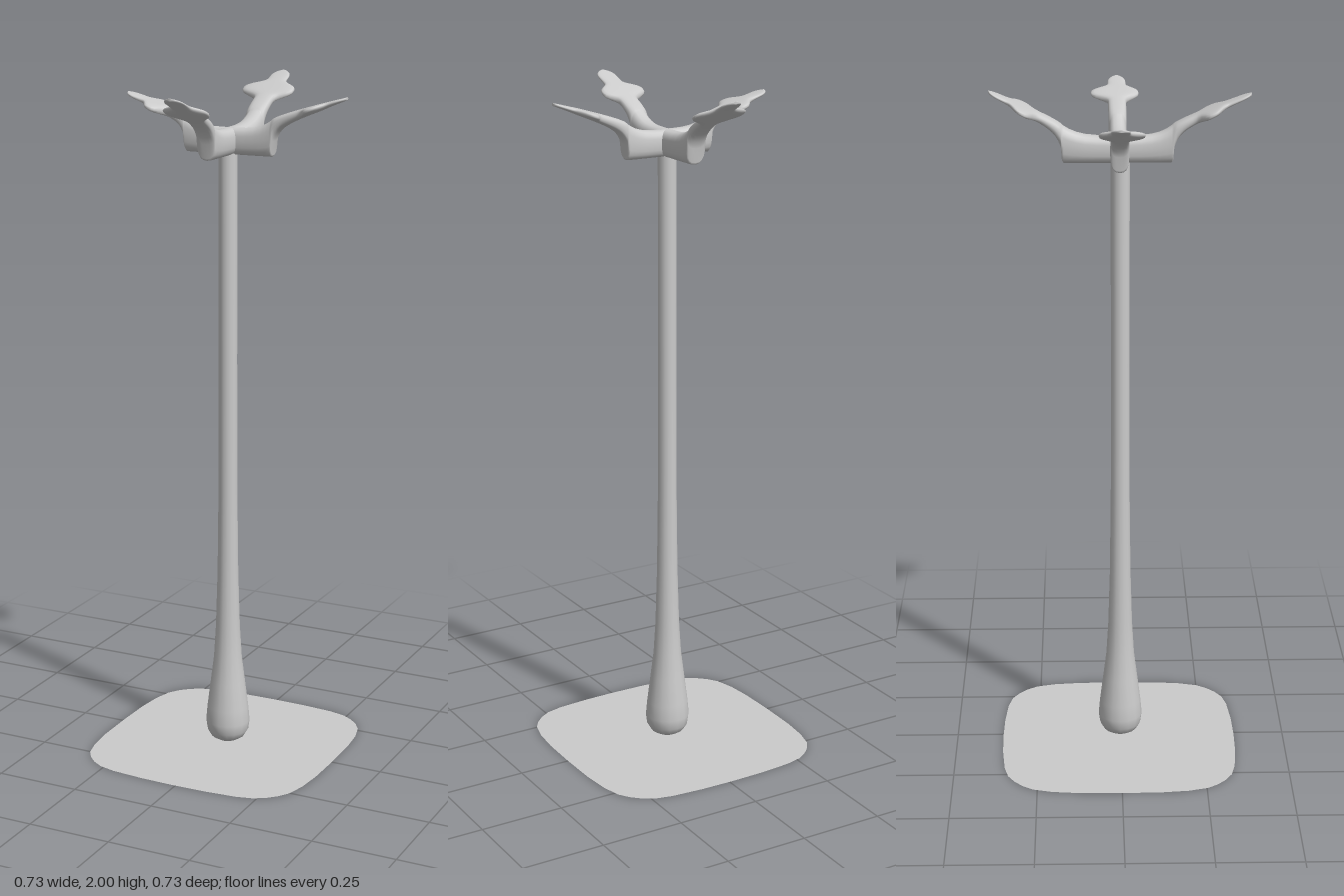
import * as THREE from 'three';

const grey = new THREE.MeshStandardMaterial({ color: 0xcccccc });
const greyThin = new THREE.MeshStandardMaterial({ color: 0xcccccc, side: THREE.DoubleSide });

// Bracket arm lofted along +z: a deep foot near the pole, then a thin rising hook with two ears
function armGeometry({ foot, tip, tipY, width, ear, ears }) {
  const sides = 20, wingRows = 40;
  const rows = [];
  for (const k of [0, 0.2, 0.4, 0.6, 0.75, 0.88, 0.97, 1]) {
    rows.push({ u: foot * k, top: 1.873 + 0.032 * Math.pow(k, 4), bottom: k === 1 ? 1.803 : 1.797, f: 0 });
  }
  for (let i = 0; i <= wingRows; i++) {
    const f = 0.015 + 0.985 * Math.sin((i / wingRows) * Math.PI / 2);
    const top = 1.905 + (tipY - 1.905) * Math.pow(f, 0.85);
    const thickness = 0.008 + 0.03 * (1 - f) + 0.035 * Math.exp(-f / 0.06);
    rows.push({ u: foot + (tip - foot) * f, top, bottom: top - thickness, f });
  }
  const positions = [], index = [];
  rows.forEach(({ u, top, bottom, f }, r) => {
    const round = f > 0.85 ? Math.sqrt(Math.max(0, 1 - Math.pow((f - 0.85) / 0.15, 2))) : 1;
    const bump = Math.exp(-Math.pow(Math.abs(u - ear) / 0.028, 3));
    for (let j = 0; j < sides; j++) {
      const a = (j / sides) * Math.PI * 2, c = Math.cos(a), s = Math.sin(a);
      const half = width * round + (ears[c > 0 ? 1 : 0] - width) * bump;
      const x = Math.sign(c) * Math.pow(Math.abs(c), 0.75) * half;
      const y = (top + bottom) / 2 + Math.sign(s) * Math.pow(Math.abs(s), 0.75) * (top - bottom) / 2;
      positions.push(x, y, u);
      if (r < rows.length - 1) {
        const p = r * sides + j, q = r * sides + (j + 1) % sides;
        index.push(p, q, p + sides, q, q + sides, p + sides);
      }
    }
  });
  const geometry = new THREE.BufferGeometry();
  geometry.setAttribute('position', new THREE.Float32BufferAttribute(positions, 3));
  geometry.setIndex(index);
  geometry.computeVertexNormals();
  return geometry;
}

export function createModel() {
  const group = new THREE.Group();
  const add = (name, geometry, material = grey) => {
    const mesh = new THREE.Mesh(geometry, material);
    mesh.name = name;
    group.add(mesh);
    return mesh;
  };

  // Thin floor plate: one quarter outline mirrored into a rounded square
  const quarter = [[0.355, 0], [0.353, 0.12], [0.345, 0.2], [0.33, 0.257], [0.31, 0.287], [0.3, 0.297],
    [0.283, 0.313], [0.25, 0.333], [0.2, 0.345], [0.1, 0.353], [0, 0.355]];
  const back = [...quarter].reverse();
  const outline = [
    ...quarter,
    ...back.slice(1).map(([x, y]) => [-x, y]),
    ...quarter.slice(1).map(([x, y]) => [-x, -y]),
    ...back.slice(1, -1).map(([x, y]) => [x, -y]),
  ].map(([x, y]) => new THREE.Vector2(x, y));
  const plate = add('basePlate', new THREE.ShapeGeometry(new THREE.Shape(outline)).rotateX(-Math.PI / 2), greyThin);
  plate.position.set(-0.01, 0, -0.005);

  // Pole swelling into a drop-shaped foot
  const profile = [[0, 0.012], [0.03, 0.014], [0.05, 0.026], [0.062, 0.046], [0.066, 0.075], [0.062, 0.12],
    [0.052, 0.2], [0.042, 0.28], [0.036, 0.38], [0.031, 0.55], [0.028, 0.8], [0.027, 1.2], [0.027, 1.82]];
  add('pole', new THREE.LatheGeometry(profile.map(([r, y]) => new THREE.Vector2(r, y)), 16));

  // Four hook arms crossing at the top of the pole
  const arms = [
    { name: 'frontArm', turn: 0, x: 0.005, z: 0, foot: 0.148, tip: 0.365, tipY: 1.992, width: 0.029, ear: 0.255, ears: [0.075, 0.061] },
    { name: 'leftArm', turn: 1, x: 0, z: -0.005, foot: 0.14, tip: 0.362, tipY: 1.975, width: 0.026, ear: 0.27, ears: [0.063, 0.076] },
    { name: 'backArm', turn: 2, x: 0.005, z: 0, foot: 0.163, tip: 0.365, tipY: 2.0, width: 0.03, ear: 0.272, ears: [0.075, 0.088] },
    { name: 'rightArm', turn: 3, x: 0, z: -0.003, foot: 0.13, tip: 0.32, tipY: 1.958, width: 0.026, ear: 0.22, ears: [0.059, 0.068] },
  ];
  for (const arm of arms) {
    const mesh = add(arm.name, armGeometry(arm));
    mesh.rotation.y = arm.turn * Math.PI / 2;
    mesh.position.set(arm.x, 0, arm.z);
  }
  return group;
}
